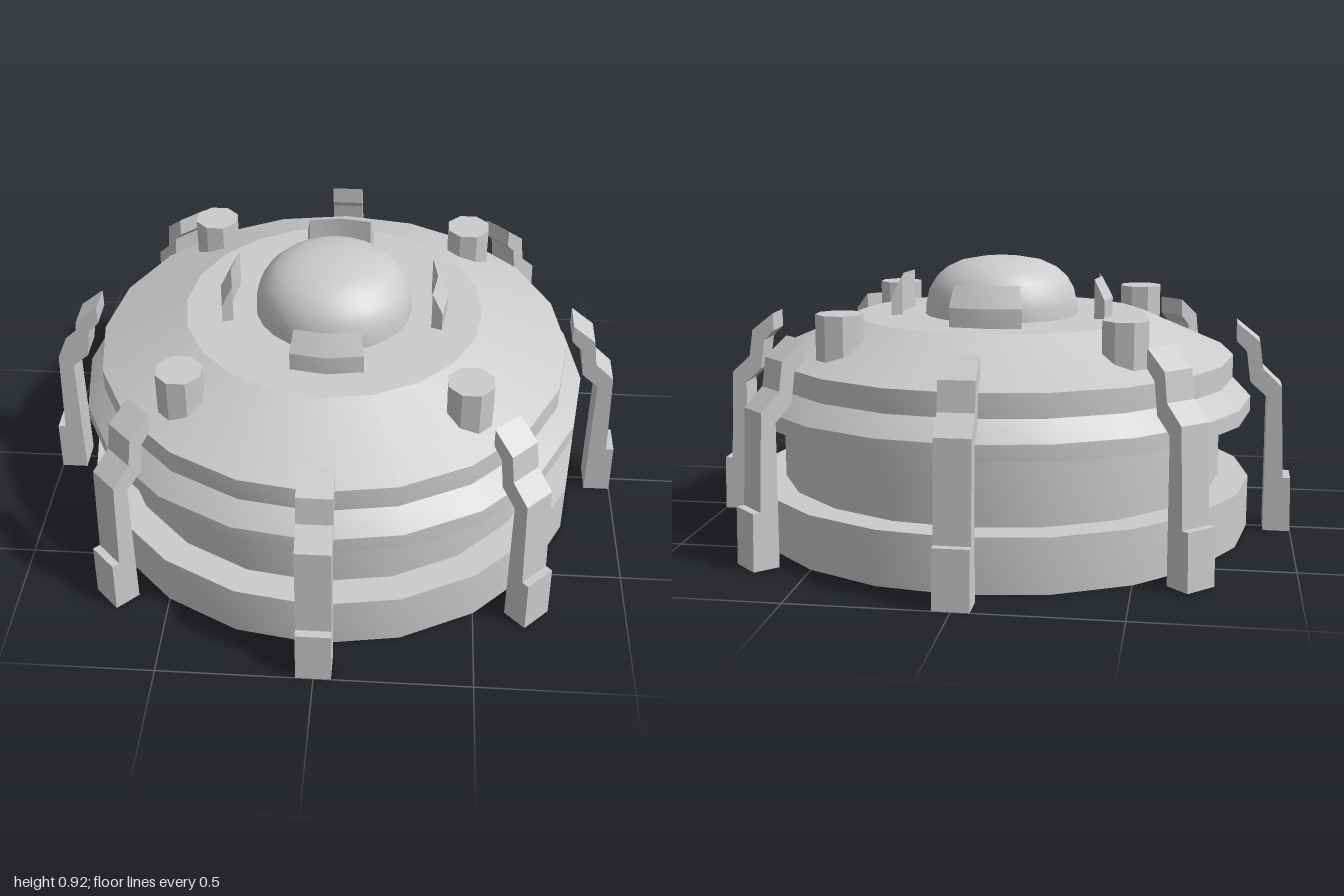
import * as THREE from 'three';
import { toCreasedNormals, mergeGeometries } from 'three/addons/utils/BufferGeometryUtils.js';

const grey = new THREE.MeshStandardMaterial({ color: 0xcccccc, side: THREE.DoubleSide });
const points = (list) => list.map(([x, y]) => new THREE.Vector2(x, y));

function add(parent, name, geometry, crease = 0.35) {
  const mesh = new THREE.Mesh(toCreasedNormals(geometry, crease), grey);
  mesh.name = name;
  parent.add(mesh);
  return mesh;
}

// Curved block: a closed section swept around the y axis, with both ends capped
function arcBlock(section, halfAngle, segments) {
  const pts = points(section);
  const sweep = new THREE.LatheGeometry([...pts, pts[0]], segments, Math.PI / 2 - halfAngle, 2 * halfAngle);
  const ends = [-1, 1].map((s) => new THREE.ShapeGeometry(new THREE.Shape(pts)).rotateY(s * halfAngle));
  return mergeGeometries([sweep, ...ends].map((g) => g.toNonIndexed()));
}

export function createModel() {
  const model = new THREE.Group();
  model.name = 'domedBuilding';

  // Stepped shell, open underneath
  add(model, 'shell', new THREE.LatheGeometry(points([
    [0.855, 0], [0.855, 0.177], [0.752, 0.177], [0.752, 0.405], [0.855, 0.405], [0.855, 0.457],
    [0.793, 0.52], [0.793, 0.597], [0.5, 0.725], [0, 0.725],
  ]), 20));

  // Rounded cap in the middle of the roof
  add(model, 'dome', new THREE.LatheGeometry(points([
    [0.262, 0.725], [0.26, 0.765], [0.25, 0.81], [0.226, 0.85], [0.19, 0.882],
    [0.14, 0.905], [0.075, 0.917], [0, 0.92],
  ]), 24), 0.6);

  // Four curved shields around the dome
  const shield = arcBlock([[0.345, 0.72], [0.382, 0.72], [0.382, 0.787], [0.345, 0.857]], Math.PI / 10, 2);
  for (let i = 0; i < 4; i++) add(model, 'shield', shield).rotation.y = (i * Math.PI) / 2;

  // Four octagonal posts through the sloping roof
  const post = new THREE.CylinderGeometry(0.077, 0.077, 0.15, 8).rotateY(Math.PI / 8);
  for (const x of [-1, 1]) for (const z of [-1, 1]) {
    add(model, 'roofPost', post).position.set(x * 0.455, 0.7, z * 0.455);
  }

  // Eight bent buttresses standing around the shell
  const outline = new THREE.Shape(points([
    [0.91, 0], [1, 0], [0.996, 0.187], [0.97, 0.187], [0.957, 0.5], [0.893, 0.56],
    [0.88, 0.652], [0.803, 0.713], [0.803, 0.652], [0.838, 0.617], [0.852, 0.515], [0.908, 0.465],
  ]));
  const buttress = new THREE.ExtrudeGeometry(outline, { depth: 0.112, bevelEnabled: false }).translate(0, 0, -0.056);
  for (let i = 0; i < 8; i++) add(model, 'buttress', buttress, 0.02).rotation.y = (i * Math.PI) / 4;

  return model;
}
